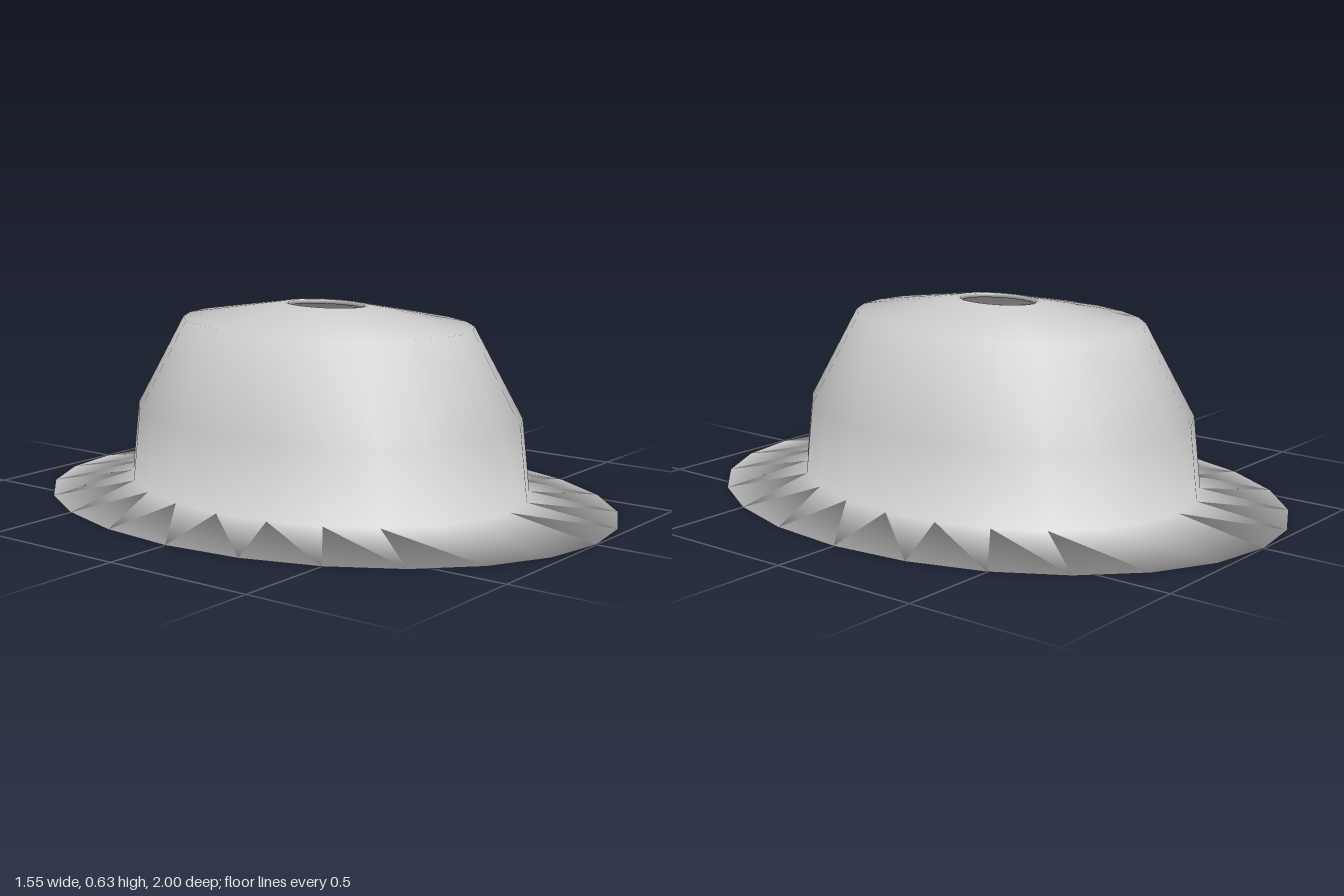
import * as THREE from 'three';
import { mergeVertices } from 'three/addons/utils/BufferGeometryUtils.js';

const SIDES = 24;

// Oval shell profile: [half width x, half depth z, height y]
const profile = [
  // lining, from the crown opening down to the brim
  [0.095, 0.138, 0.62],
  [0.365, 0.503, 0.567],
  [0.512, 0.662, 0.281],
  [0.532, 0.69, 0.035],
  // brim edge
  [0.775, 1.0, 0],
  // outside, from the brim up to the crown opening
  [0.547, 0.703, 0.05],
  [0.526, 0.677, 0.285],
  [0.377, 0.516, 0.578],
  [0.101, 0.155, 0.635],
  // edge of the opening
  [0.095, 0.138, 0.634],
  [0.095, 0.138, 0.62],
];

// Lathe whose rings are stretched front to back, then smoothed without a seam
function ovalLathe(rings, sides) {
  const lathe = new THREE.LatheGeometry(rings.map(([x, , y]) => new THREE.Vector2(x, y)), sides);
  const pos = lathe.attributes.position;
  for (let i = 0; i < pos.count; i++) {
    const [x, z] = rings[i % rings.length];
    pos.setZ(i, pos.getZ(i) * z / x);
  }
  lathe.deleteAttribute('uv');
  lathe.deleteAttribute('normal');
  const smooth = mergeVertices(lathe, 1e-4);
  smooth.computeVertexNormals();
  return smooth;
}

export function createModel() {
  const group = new THREE.Group();
  group.name = 'hat';

  const felt = new THREE.MeshStandardMaterial({ color: 0xcccccc });
  felt.name = 'light grey felt';

  // Crown and brim in one smooth shell
  const shell = new THREE.Mesh(ovalLathe(profile, SIDES), felt);
  shell.name = 'crownAndBrim';
  group.add(shell);

  return group;
}
